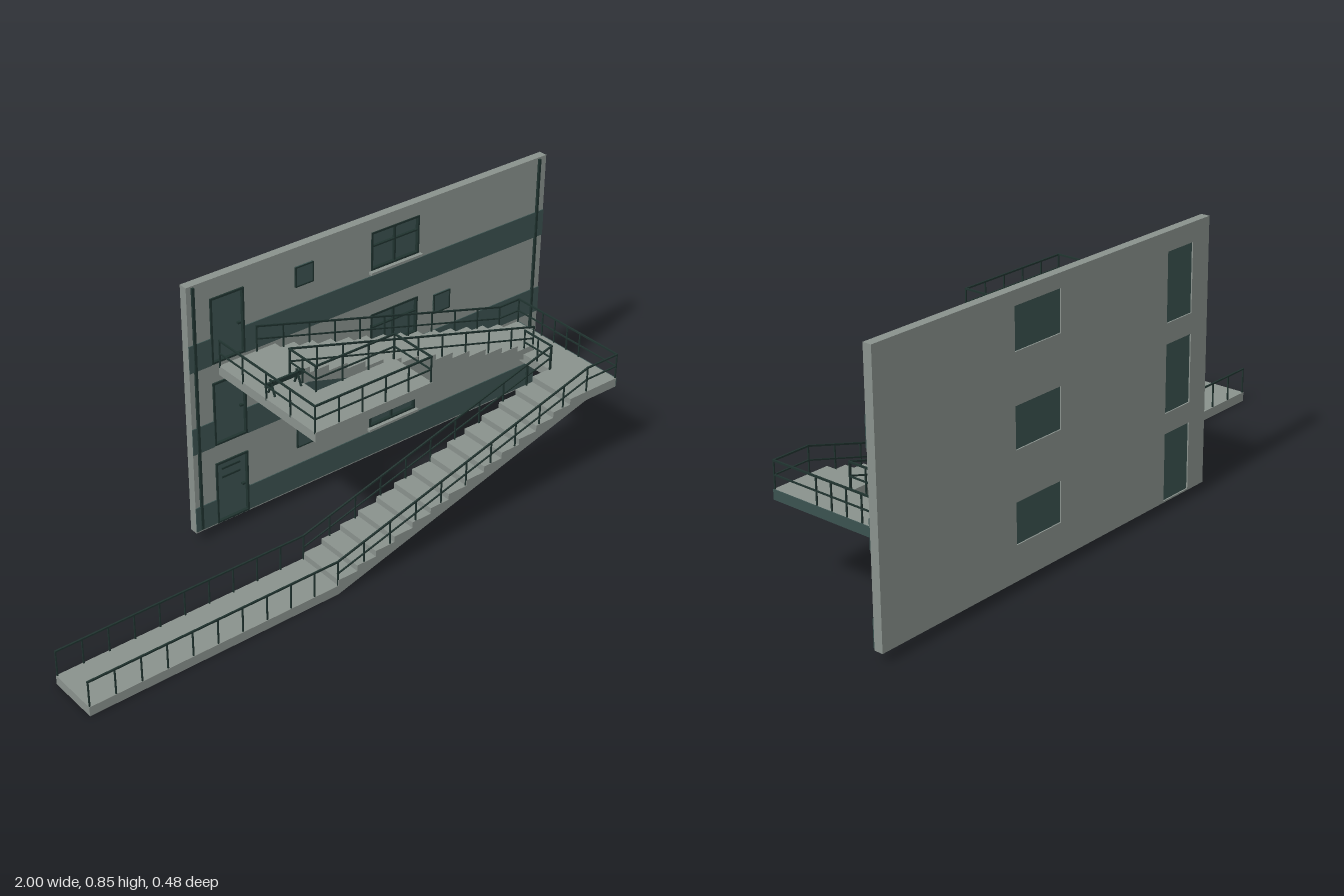
import * as THREE from 'three';

export function createModel() {
  const model = new THREE.Group();
  model.name = 'exteriorStaircase';
  const mat = (name, color) => {
    const m = new THREE.MeshStandardMaterial({ color });
    m.name = name;
    return m;
  };
  const concrete = mat('concrete', 0x8a928d);
  const teal = mat('darkTeal', 0x3b5250);
  const steel = mat('railSteel', 0x20332f);

  const group = (name, parent = model) => {
    const g = new THREE.Group();
    g.name = name;
    parent.add(g);
    return g;
  };
  // Box given by its extents on each axis
  const box = (name, parent, material, [x0, x1], [y0, y1], [z0, z1]) => {
    const m = new THREE.Mesh(new THREE.BoxGeometry(x1 - x0, y1 - y0, z1 - z0), material);
    m.position.set((x0 + x1) / 2, (y0 + y1) / 2, (z0 + z1) / 2);
    m.name = name;
    parent.add(m);
    return m;
  };
  // Square bar between two points
  const bar = (name, parent, a, b, t = 0.005) => {
    const p = new THREE.Vector3(...a), q = new THREE.Vector3(...b);
    const m = new THREE.Mesh(new THREE.BoxGeometry(t, t, p.distanceTo(q) + t), steel);
    m.position.copy(p).lerp(q, 0.5);
    m.lookAt(q);
    m.name = name;
    parent.add(m);
  };
  const outline = (x0, x1, y0, y1, Type = THREE.Shape) => {
    const s = new Type();
    s.moveTo(x0, y0);
    s.lineTo(x1, y0);
    s.lineTo(x1, y1);
    s.lineTo(x0, y1);
    s.closePath();
    return s;
  };

  // Facade with door and window openings on three storeys
  const front = -0.212;
  const floors = [0.032, 0.305, 0.578];
  const doorX = [-0.265, -0.15], winX = [0.31, 0.492];
  const wallShape = outline(-0.34, 1, 0.03, 0.85);
  for (const y of floors) {
    wallShape.holes.push(outline(...doorX, y + 0.003, y + 0.213, THREE.Path));
    wallShape.holes.push(outline(...winX, y + 0.105, y + 0.229, THREE.Path));
  }
  const wall = new THREE.Mesh(
    new THREE.ExtrudeGeometry(wallShape, { depth: 0.028, bevelEnabled: false }), concrete);
  wall.position.z = -0.24;
  wall.name = 'wall';
  model.add(wall);

  // Border of four bars around an opening
  const frame = (name, parent, [x0, x1], [y0, y1], t, z) => {
    const g = group(name, parent);
    box('frameSide', g, steel, [x0, x0 + t], [y0, y1], z);
    box('frameSide', g, steel, [x1 - t, x1], [y0, y1], z);
    box('frameHead', g, steel, [x0, x1], [y1 - t, y1], z);
    box('frameFoot', g, steel, [x0, x1], [y0, y0 + t], z);
  };

  floors.forEach((y, i) => {
    const storey = group('storey' + (i + 1));
    // Painted bands, interrupted by the door
    const bandY = [y + (i ? 0 : 0.004), y + 0.087], bandZ = [front, front + 0.003];
    box('paintedBand', storey, teal, [-0.34, doorX[0]], bandY, bandZ);
    box('paintedBand', storey, teal, [doorX[1], 1], bandY, bandZ);
    // Door
    const dy = [y + 0.003, y + 0.213];
    box('doorLeaf', storey, teal, doorX, dy, [-0.236, -0.217]);
    frame('doorFrame', storey, doorX, dy, 0.006, [-0.222, front + 0.005]);
    box('doorHandle', storey, steel, [-0.172, -0.162], [y + 0.1, y + 0.106], [-0.217, -0.208]);
    if (i === 0) {
      for (const v of [0.15, 0.18]) {
        box('doorVent', storey, steel, [-0.24, -0.175], [y + v, y + v + 0.006], [-0.217, -0.214]);
      }
    }
    // Window
    const wy = [y + 0.105, y + 0.229];
    box('windowGlass', storey, teal, winX, wy, [-0.236, -0.22]);
    frame('windowFrame', storey, winX, wy, 0.006, [-0.224, front + 0.003]);
    box('mullion', storey, steel, [0.398, 0.404], wy, [-0.22, front]);
    box('transom', storey, steel, winX, [y + 0.179, y + 0.184], [-0.22, front]);
    box('windowSill', storey, concrete, [0.303, 0.499], [y + 0.095, y + 0.103], [front, -0.199]);
    // Blank wall plaque
    const px = i === 1 ? 0.555 : 0.03;
    box('plaque', storey, teal, [px, px + 0.065], [y + 0.147, y + 0.212], [front, front + 0.004]);
    frame('plaqueBorder', storey, [px, px + 0.065], [y + 0.147, y + 0.212], 0.004, [front, front + 0.006]);
  });
  // Downpipes near both ends of the facade
  for (const x of [-0.32, 0.97]) {
    box('downpipe', model, steel, [x - 0.004, x + 0.004], [0.04, 0.845], [front, front + 0.007]);
  }

  // Decks
  const zOut = [0.076, 0.24], zIn = [-0.197, -0.036];
  box('walkway', model, concrete, [-1, -0.17], [0, 0.03], zOut);
  box('middleLanding', model, concrete, [0.78, 0.903], [0.275, 0.305], [-0.197, 0.24]);
  box('middleLandingFascia', model, teal, [0.903, 0.906], [0.275, 0.305], [-0.197, 0.24]);
  box('upperLanding', model, concrete, [-0.25, -0.12], [0.548, 0.578], [-0.197, 0.24]);
  box('upperBalcony', model, concrete, [-0.12, 0.16], [0.548, 0.578], zOut);

  // Flight of steps with a sloping soffit
  const flight = (name, [x0, y0], [x1, y1], z, steps = 14) => {
    const dx = (x1 - x0) / steps, dy = (y1 - y0) / steps;
    const s = new THREE.Shape();
    s.moveTo(x0, y0 - 0.03);
    for (let i = 0; i < steps; i++) {
      s.lineTo(x0 + i * dx, y0 + i * dy);
      s.lineTo(x0 + i * dx, y0 + (i + 1) * dy);
    }
    s.lineTo(x1, y1);
    s.lineTo(x1, y1 - 0.03);
    s.closePath();
    const m = new THREE.Mesh(
      new THREE.ExtrudeGeometry(s, { depth: z[1] - z[0], bevelEnabled: false }), concrete);
    m.position.z = z[0];
    m.name = name;
    model.add(m);
  };
  const lowA = [-0.17, 0.03], lowB = [0.78, 0.305], upA = [0.82, 0.305], upB = [-0.12, 0.578];
  flight('lowerFlight', lowA, lowB, zOut);
  flight('upperFlight', upA, upB, zIn);

  // Railing along a straight line: posts, handrail and optional middle rail
  const railing = (name, a, b, spans, mid = true) => {
    const g = group(name);
    const up = (p, h) => [p[0], p[1] + h, p[2]];
    for (let i = 0; i <= spans; i++) {
      const p = a.map((v, k) => v + (b[k] - v) * i / spans);
      bar('post', g, up(p, -0.004), up(p, 0.08), 0.004);
    }
    bar('handrail', g, up(a, 0.082), up(b, 0.082));
    if (mid) bar('middleRail', g, up(a, 0.041), up(b, 0.041), 0.004);
  };
  const zF = 0.2365, zM = 0.079, zI = -0.039, zB = -0.194;
  for (const z of [zF, zM]) {
    railing('walkwayRailing', [-0.997, 0.03, z], [-0.17, 0.03, z], 10, false);
    railing('lowerFlightRailing', [...lowA, z], [...lowB, z], 10);
  }
  for (const z of [zI, zB]) railing('upperFlightRailing', [...upA, z], [...upB, z], 10);

  const mid = 0.305, top = 0.578;
  railing('middleLandingRailing', [0.902, mid, zF], [0.902, mid, zM], 1);
  railing('middleLandingRailing', [0.902, mid, zM], [0.902, mid, zB], 5);
  railing('middleLandingRailing', [0.78, mid, zF], [0.902, mid, zF], 1);
  railing('middleLandingRailing', [0.82, mid, zB], [0.902, mid, zB], 1);
  railing('middleLandingRailing', [0.783, mid, zM], [0.783, mid, zI], 2);
  railing('upperLandingRailing', [-0.248, top, zF], [-0.248, top, zB], 4);
  railing('upperLandingRailing', [-0.248, top, zF], [0.157, top, zF], 5);
  railing('upperLandingRailing', [0.157, top, zF], [0.157, top, zM], 1);
  railing('upperLandingRailing', [0.157, top, zM], [-0.122, top, zM], 3);
  railing('upperLandingRailing', [-0.122, top, zM], [-0.122, top, zI], 2);

  // Folding barrier on the upper landing
  const barrier = group('barrier');
  for (const x of [-0.225, -0.135]) {
    bar('barrierLeg', barrier, [x, 0.58, 0.029], [x, 0.622, 0.01]);
    bar('barrierLeg', barrier, [x, 0.58, 0.001], [x, 0.622, 0.018]);
  }
  box('barrierBeam', barrier, steel, [-0.245, -0.112], [0.605, 0.618], [0.01, 0.017]);

  return model;
}
